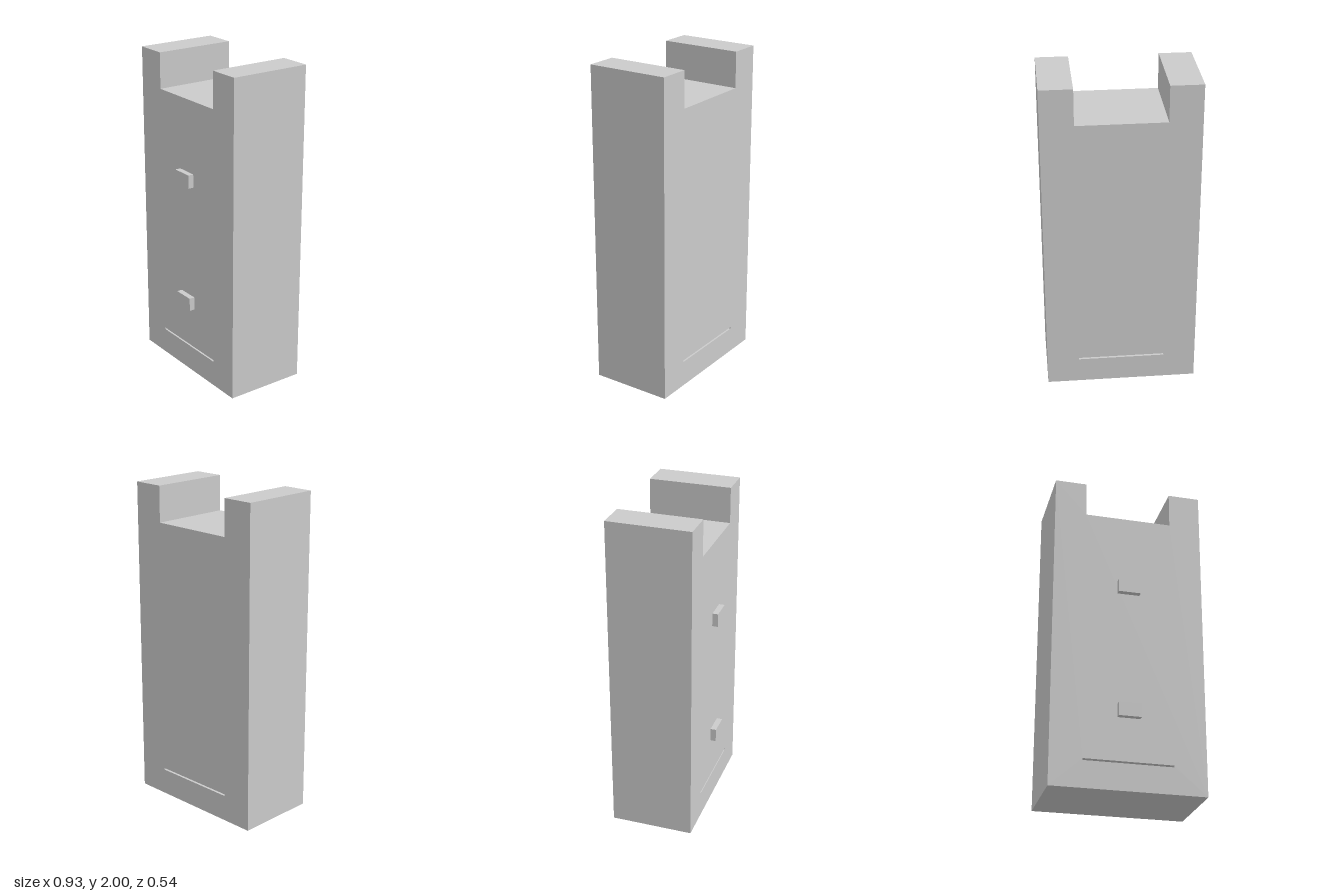
import * as THREE from 'three';

const BACK = -0.272, FACE = 0.237, FRONT = 0.272;
const HALF_W = 0.467, NOTCH_W = 0.27, NOTCH_Y = 1.778;

export function createModel() {
  const group = new THREE.Group();
  const material = new THREE.MeshStandardMaterial({ color: 0xcccccc, flatShading: true });

  // Block with a notch in the top and a thin slot running front to back
  const outline = new THREE.Shape([
    [-HALF_W, 0], [HALF_W, 0], [HALF_W, 2], [NOTCH_W, 2],
    [NOTCH_W, NOTCH_Y], [-NOTCH_W, NOTCH_Y], [-NOTCH_W, 2], [-HALF_W, 2],
  ].map(([x, y]) => new THREE.Vector2(x, y)));
  outline.holes.push(new THREE.Path([
    [-NOTCH_W, 0.164], [-NOTCH_W, 0.175], [NOTCH_W, 0.175], [NOTCH_W, 0.164],
  ].map(([x, y]) => new THREE.Vector2(x, y))));
  const bodyGeometry = new THREE.ExtrudeGeometry(outline, { depth: FACE - BACK, bevelEnabled: false });
  bodyGeometry.translate(0, 0, BACK);
  const body = new THREE.Mesh(bodyGeometry, material);
  body.name = 'body';
  group.add(body);

  // Two small tabs on the front face
  for (const [name, y] of [['upperTab', 1.289], ['lowerTab', 0.483]]) {
    const tab = new THREE.Mesh(new THREE.BoxGeometry(0.137, 0.083, FRONT - FACE), material);
    tab.position.set(0, y, (FRONT + FACE) / 2);
    tab.name = name;
    group.add(tab);
  }
  return group;
}
